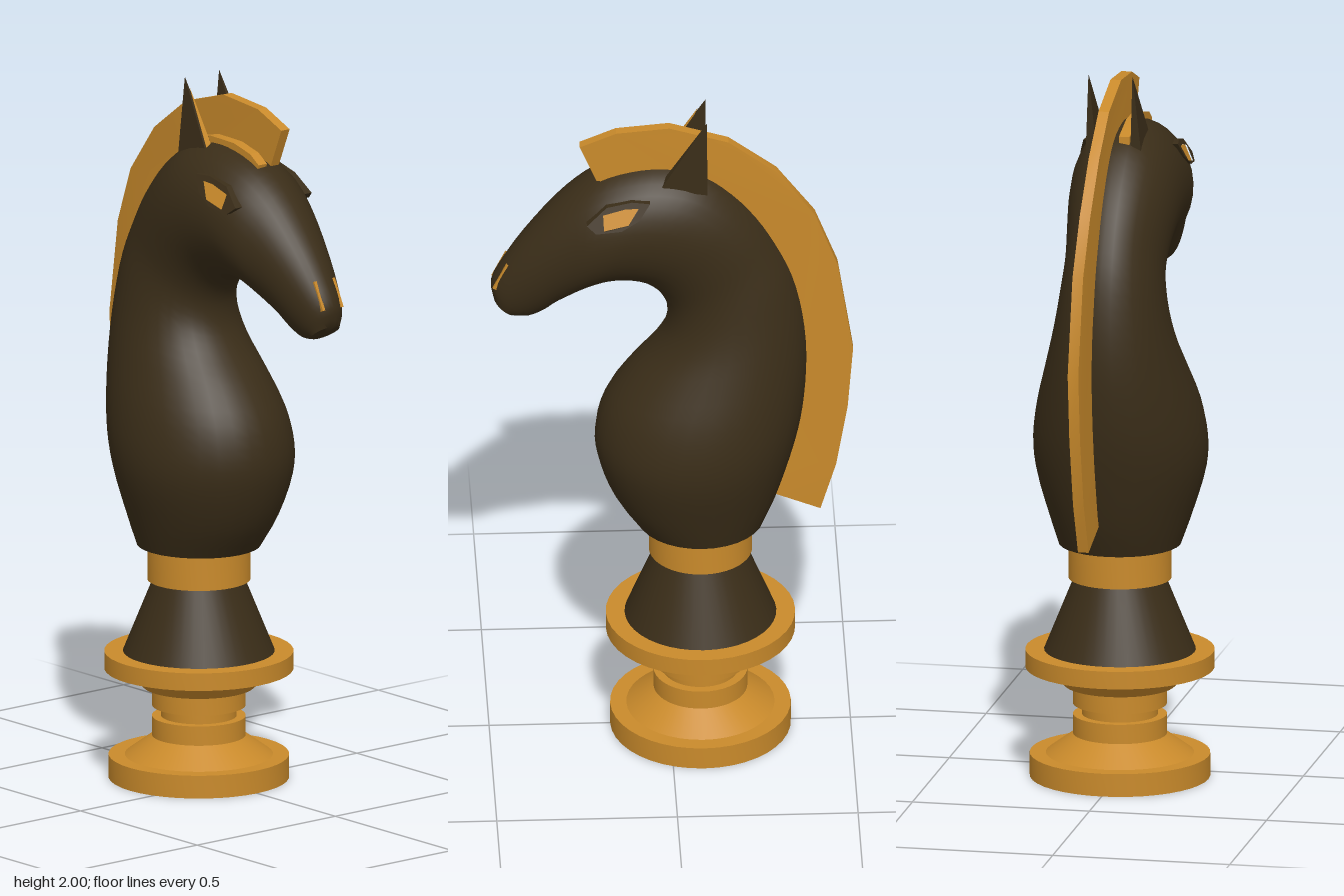
import * as THREE from 'three';
import { toCreasedNormals } from 'three/addons/utils/BufferGeometryUtils.js';
import { ConvexGeometry } from 'three/addons/geometries/ConvexGeometry.js';

const dark = new THREE.MeshStandardMaterial({ color: 0x3a2d18 });
const gold = new THREE.MeshStandardMaterial({ color: 0xc98a2b });

function part(name, geometry, material) {
  const mesh = new THREE.Mesh(geometry, material);
  mesh.name = name;
  return mesh;
}

// Turned part around the pedestal axis, closed on the axis at both ends
function turned(name, profile, material) {
  const pts = profile.map(([r, y]) => new THREE.Vector2(r, y));
  pts.unshift(new THREE.Vector2(0, pts[0].y));
  pts.push(new THREE.Vector2(0, pts[pts.length - 1].y));
  const mesh = part(name, toCreasedNormals(new THREE.LatheGeometry(pts, 40), 0.5), material);
  mesh.position.x = -0.085;
  return mesh;
}

// Flat plate in x, y between two z values; shear(x, y) shifts it in z
function plate(name, points, z0, z1, material, shear = () => 0, hole = null) {
  const toVec = ([x, y]) => new THREE.Vector2(x, y);
  const shape = new THREE.Shape(points.map(toVec));
  if (hole) shape.holes.push(new THREE.Path(hole.map(toVec)));
  const geo = new THREE.ExtrudeGeometry(shape, { depth: z1 - z0, bevelEnabled: false });
  const p = geo.attributes.position;
  for (let i = 0; i < p.count; i++) {
    p.setZ(i, p.getZ(i) + z0 + shear(p.getX(i), p.getY(i)));
  }
  return part(name, toCreasedNormals(geo, 0.3), material);
}

// Head and neck sections: back x, back y, front x, front y, half width
const SECTIONS = [
  [-0.26, 0.665, 0.09, 0.665, 0.17], [-0.295, 0.75, 0.155, 0.76, 0.2],
  [-0.335, 0.88, 0.2, 0.88, 0.235], [-0.36, 0.98, 0.207, 0.96, 0.24],
  [-0.376, 1.08, 0.182, 1.06, 0.225], [-0.385, 1.22, 0.115, 1.16, 0.192],
  [-0.375, 1.35, 0.05, 1.235, 0.165], [-0.345, 1.48, 0.013, 1.3, 0.147],
  [-0.3, 1.58, 0.008, 1.365, 0.138], [-0.245, 1.67, 0.03, 1.415, 0.142],
  [-0.175, 1.75, 0.075, 1.453, 0.15], [-0.095, 1.81, 0.14, 1.465, 0.155],
  [0.01, 1.836, 0.19, 1.46, 0.156], [0.105, 1.83, 0.225, 1.447, 0.153],
  [0.2, 1.8, 0.255, 1.43, 0.142], [0.285, 1.74, 0.285, 1.41, 0.122],
  [0.38, 1.635, 0.315, 1.39, 0.1], [0.455, 1.53, 0.345, 1.365, 0.08],
  [0.495, 1.45, 0.385, 1.345, 0.06], [0.487, 1.395, 0.425, 1.348, 0.045],
];

function bodyGeometry() {
  const rows = 57, cols = 32;
  const back = new THREE.CatmullRomCurve3(SECTIONS.map(s => new THREE.Vector3(s[0], s[1], s[4])));
  const front = new THREE.CatmullRomCurve3(SECTIONS.map(s => new THREE.Vector3(s[2], s[3], 0)));
  const pos = [], index = [];
  for (let i = 0; i <= rows; i++) {
    const b = back.getPoint(i / rows), f = front.getPoint(i / rows);
    const cx = (b.x + f.x) / 2, cy = (b.y + f.y) / 2;
    for (let j = 0; j < cols; j++) {
      const a = (j / cols) * Math.PI * 2;
      pos.push(cx + Math.cos(a) * (b.x - cx), cy + Math.cos(a) * (b.y - cy), Math.sin(a) * b.z);
    }
  }
  const at = (i, j) => i * cols + (j % cols);
  for (let i = 0; i < rows; i++) {
    for (let j = 0; j < cols; j++) {
      index.push(at(i, j), at(i, j + 1), at(i + 1, j));
      index.push(at(i, j + 1), at(i + 1, j + 1), at(i + 1, j));
    }
  }
  // Centre points close the underside and the muzzle
  const low = pos.length / 3;
  pos.push(-0.085, 0.665, 0, 0.458, 1.37, 0);
  for (let j = 0; j < cols; j++) {
    index.push(low, at(0, j + 1), at(0, j));
    index.push(low + 1, at(rows, j), at(rows, j + 1));
  }
  const geo = new THREE.BufferGeometry();
  geo.setAttribute('position', new THREE.Float32BufferAttribute(pos, 3));
  geo.setIndex(index);
  return toCreasedNormals(geo, 0.7);
}

export function createModel() {
  const model = new THREE.Group();
  model.name = 'horseHeadPiece';

  // Pedestal
  model.add(
    turned('foot', [[0.25, 0], [0.25, 0.065], [0.205, 0.065], [0.13, 0.12], [0.13, 0.175],
      [0.105, 0.175], [0.105, 0.205], [0.13, 0.205], [0.13, 0.26], [0.155, 0.26],
      [0.21, 0.31], [0.262, 0.31], [0.262, 0.36]], gold),
    turned('taperedStem', [[0.21, 0.36], [0.127, 0.565]], dark),
    turned('neckRing', [[0.143, 0.565], [0.143, 0.666]], gold),
  );

  // Neck and head
  model.add(part('neckAndHead', bodyGeometry(), dark));

  // Mane: outer edge forward over the head, inner edge sunk into the neck
  const outer = [[-0.415, 0.715], [-0.458, 0.86], [-0.49, 1.05], [-0.505, 1.24], [-0.463, 1.51],
    [-0.4, 1.67], [-0.294, 1.81], [-0.161, 1.91], [0.003, 1.96], [0.15, 1.947], [0.251, 1.905]];
  const inner = [[0.205, 1.795], [0.1, 1.78], [0.01, 1.79], [-0.08, 1.76], [-0.16, 1.7],
    [-0.265, 1.57], [-0.335, 1.35], [-0.345, 1.2], [-0.335, 1.05], [-0.3, 0.88], [-0.27, 0.77]];
  model.add(plate('mane', [...outer, ...inner], -0.045, -0.015, gold,
    x => -0.015 * Math.max(0, (-x - 0.37) / 0.13)));
  model.add(plate('forelock', [[-0.1, 1.825], [0, 1.85], [0.1, 1.848], [0.17, 1.83], [0.207, 1.805],
    [0.19, 1.75], [-0.1, 1.75]], 0, 0.03, gold));

  // Ears, the tips standing upright over the rear edge
  const ear = (z, tipZ) => new ConvexGeometry([
    [-0.1, 1.77, z - 0.016], [-0.1, 1.77, z + 0.016], [0.03, 1.79, z - 0.016],
    [0.03, 1.79, z + 0.016], [-0.1, 2, tipZ], [-0.085, 1.975, tipZ],
  ].map(p => new THREE.Vector3(...p)));
  model.add(part('leftEar', ear(0.048, 0.038), dark), part('rightEar', ear(-0.078, -0.086), dark));
  model.add(part('leftEarLining', new ConvexGeometry([
    [0.034, 1.79, 0.036], [0.034, 1.79, 0.06], [-0.08, 1.975, 0.038], [0, 1.79, 0.04],
  ].map(p => new THREE.Vector3(...p))), gold));

  // Eyes and nostrils on both sides
  const lid = [[0.06, 1.77], [0.11, 1.772], [0.18, 1.755], [0.235, 1.705], [0.21, 1.685],
    [0.14, 1.695], [0.09, 1.725]];
  const opening = [[0.09, 1.757], [0.13, 1.753], [0.19, 1.735], [0.188, 1.692], [0.12, 1.71]];
  for (const s of [1, -1]) {
    const side = s > 0 ? 'left' : 'right';
    const span = (a, b) => (s > 0 ? [a, b] : [-b, -a]);
    const follow = (x, y) => s * (-0.42 * (y - 1.725) - 0.13 * (x - 0.14));
    model.add(plate(side + 'Eyelid', lid, ...span(0.1, 0.142), dark, follow, opening));
    model.add(plate(side + 'Eye', opening, ...span(0.1, 0.138), gold, follow));

    const nostril = part(side + 'Nostril', new THREE.BoxGeometry(0.012, 0.085, 0.009), gold);
    nostril.position.set(0.467, 1.482, s * 0.033);
    nostril.rotation.z = 0.46;
    model.add(nostril);
  }
  return model;
}
